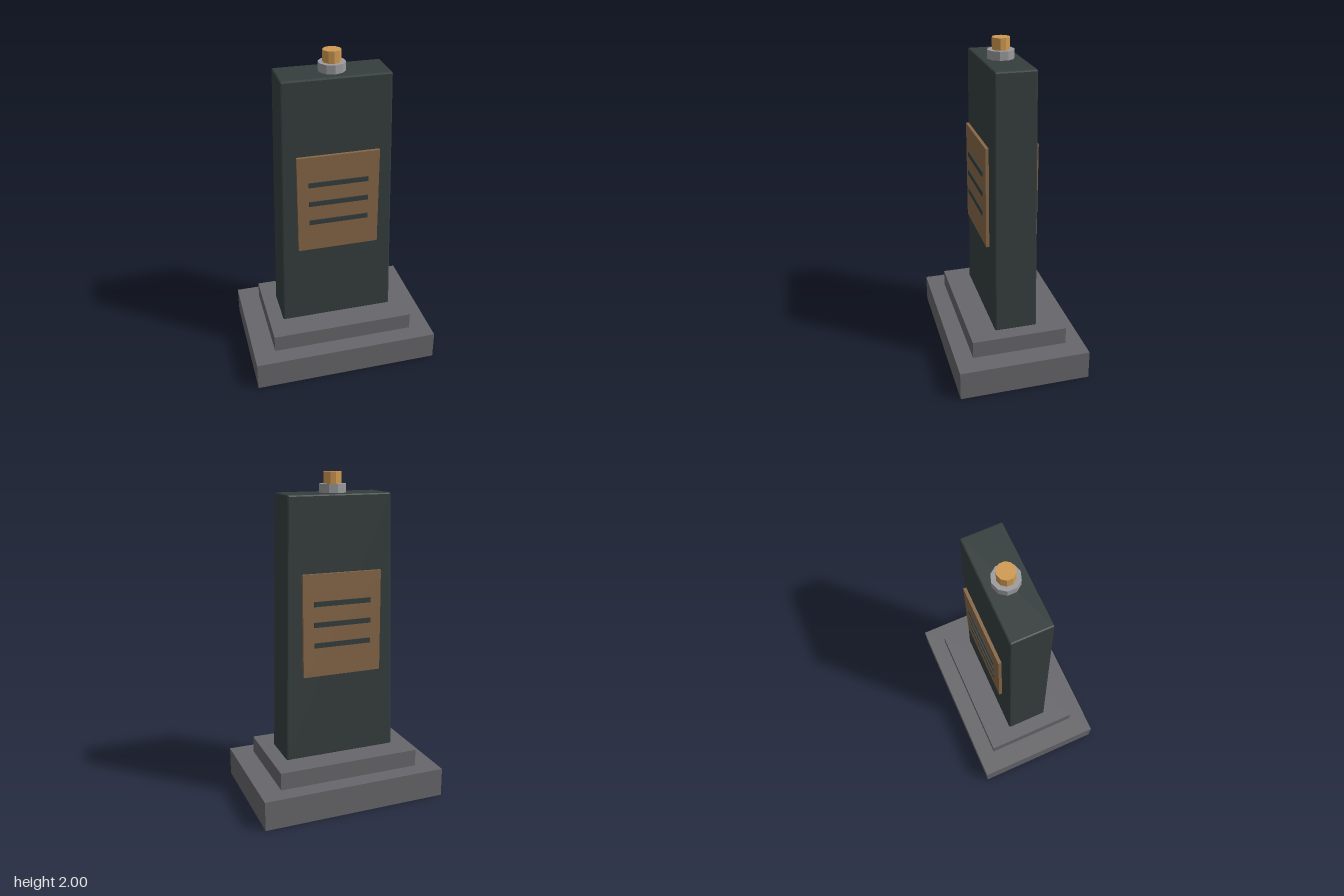
import * as THREE from 'three';
import { RoundedBoxGeometry } from 'three/addons/geometries/RoundedBoxGeometry.js';

const material = (name, color) => {
  const m = new THREE.MeshStandardMaterial({ color, flatShading: true });
  m.name = name;
  return m;
};

export function createModel() {
  const model = new THREE.Group();
  model.name = 'monument';

  const stone = material('grey stone', 0x67666a);
  const slate = material('dark slate', 0x353e3d);
  const bronze = material('bronze', 0x876848);
  const steel = material('light steel', 0x9c9c9f);
  const brass = material('brass', 0xd09a52);

  const add = (name, geometry, mat, x, y, z, parent = model) => {
    const mesh = new THREE.Mesh(geometry, mat);
    mesh.name = name;
    mesh.position.set(x, y, z);
    parent.add(mesh);
    return mesh;
  };

  // Stepped base
  add('lowerStep', new THREE.BoxGeometry(1.16, 0.18, 0.805), stone, 0, 0.09, 0);
  add('upperStep', new THREE.BoxGeometry(0.893, 0.107, 0.588), stone, 0, 0.2335, 0);

  // Tapered slab with small chamfers
  const height = 1.6;
  const slab = new RoundedBoxGeometry(0.712, height, 0.264, 1, 0.01);
  const p = slab.attributes.position;
  for (let i = 0; i < p.count; i++) {
    const t = p.getY(i) / height + 0.5;
    p.setX(i, p.getX(i) * (1 - 0.1 * t));
    p.setZ(i, p.getZ(i) * (1 - 0.08 * t));
  }
  slab.computeVertexNormals();
  add('slab', slab, slate, 0, 0.28 + height / 2, 0);

  // Plaque with three raised bars on the front and back
  for (const side of [1, -1]) {
    const plaque = new THREE.Group();
    plaque.name = side > 0 ? 'frontPlaque' : 'backPlaque';
    add('plate', new THREE.BoxGeometry(0.495, 0.62, 0.019), bronze, 0, 1.12, side * 0.1475, plaque);
    for (const y of [1.003, 1.128, 1.253]) {
      add('bar', new THREE.BoxGeometry(0.36, 0.03, 0.012), slate, 0, y, side * 0.158, plaque);
    }
    model.add(plaque);
  }

  // Collar and cap on top
  add('collar', new THREE.CylinderGeometry(0.08, 0.08, 0.056, 10), steel, 0, 1.903, 0);
  add('cap', new THREE.CylinderGeometry(0.053, 0.053, 0.1, 10), brass, 0, 1.95, 0);

  return model;
}
